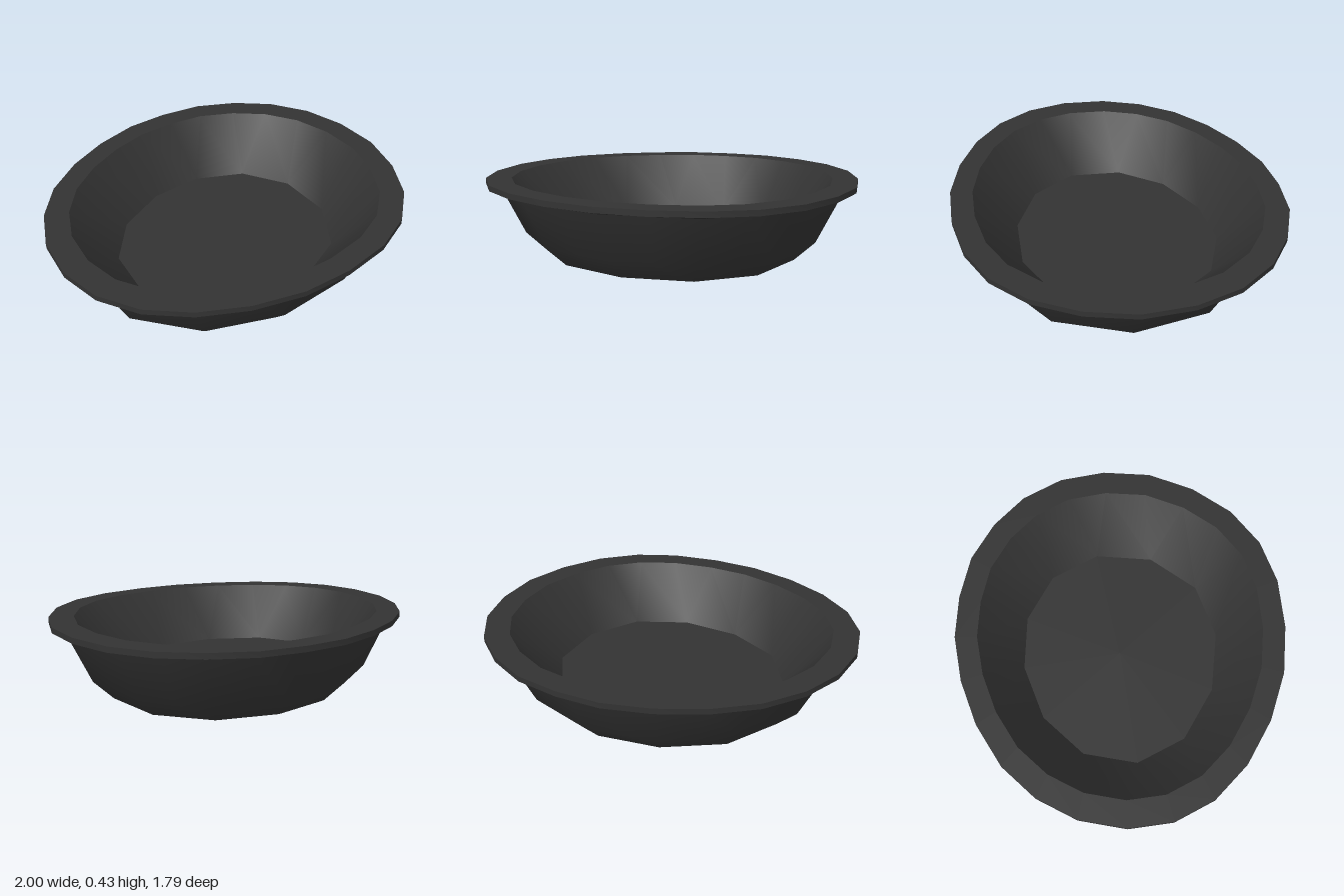
import * as THREE from 'three';
import { toCreasedNormals } from 'three/addons/utils/BufferGeometryUtils.js';

// Slightly uneven oval of the rim, as [x, z] pairs, 24 sides
const OVAL = [
  [1, -0.04], [0.96, 0.22], [0.86, 0.46], [0.7, 0.65], [0.49, 0.78], [0.23, 0.86],
  [-0.03, 0.89], [-0.3, 0.86], [-0.55, 0.78], [-0.76, 0.65], [-0.91, 0.47], [-0.99, 0.25],
  [-1, 0], [-0.94, -0.23], [-0.82, -0.44], [-0.64, -0.62], [-0.43, -0.76], [-0.2, -0.86],
  [0.03, -0.9], [0.27, -0.9], [0.5, -0.83], [0.7, -0.71], [0.86, -0.53], [0.96, -0.3],
];
const N = OVAL.length;
const mid = (i, j) => [0, 1].map((c) => (OVAL[i % N][c] + OVAL[j % N][c]) / 2);

// Three ways to read the oval: all 24 points, 12 sides through the even points,
// and 12 corners lying halfway between neighbouring points
const full = (k) => OVAL[k];
const body = (k) => (k % 2 ? mid(k - 1, k + 1) : OVAL[k]);
const floor = (k) => mid(k - (k % 2), k - (k % 2) + 1);

const ring = (outline, scale, y) =>
  OVAL.map((_, k) => {
    const [x, z] = outline(k);
    return new THREE.Vector3(x * scale, y, z * scale);
  });

// Joins neighbouring rings with triangles, skipping collapsed ones
function skin(rings) {
  const pos = [];
  const tri = (a, b, c) => {
    const area = b.clone().sub(a).cross(c.clone().sub(a)).length();
    if (area > 1e-7) for (const p of [a, b, c]) pos.push(p.x, p.y, p.z);
  };
  for (let i = 0; i < rings.length - 1; i++) {
    for (let k = 0; k < N; k++) {
      const n = (k + 1) % N;
      const [r, s] = [rings[i], rings[i + 1]];
      tri(r[k], r[n], s[k]);
      tri(r[n], s[n], s[k]);
    }
  }
  const geo = new THREE.BufferGeometry();
  geo.setAttribute('position', new THREE.Float32BufferAttribute(pos, 3));
  return toCreasedNormals(geo, THREE.MathUtils.degToRad(35));
}

export function createModel() {
  const group = new THREE.Group();
  group.name = 'bowl';
  const material = new THREE.MeshStandardMaterial({ color: 0x333333 });
  const add = (name, rings) => {
    const mesh = new THREE.Mesh(skin(rings), material);
    mesh.name = name;
    group.add(mesh);
  };

  // Floor and sloping inner wall
  add('innerBowl', [ring(floor, 0, 0.13), ring(floor, 0.63, 0.13), ring(full, 0.865, 0.43)]);

  // Flat lip with a thin edge and its underside
  add('rim', [
    ring(full, 0.865, 0.43), ring(full, 1, 0.43), ring(full, 1, 0.4), ring(body, 0.925, 0.38),
  ]);

  // Twelve-sided outer wall, bevelled foot and slightly domed base
  add('outerBowl', [
    ring(body, 0.925, 0.38), ring(body, 0.8, 0.12), ring(body, 0.69, 0.015),
    ring(body, 0.48, 0), ring(body, 0, 0),
  ]);
  return group;
}
